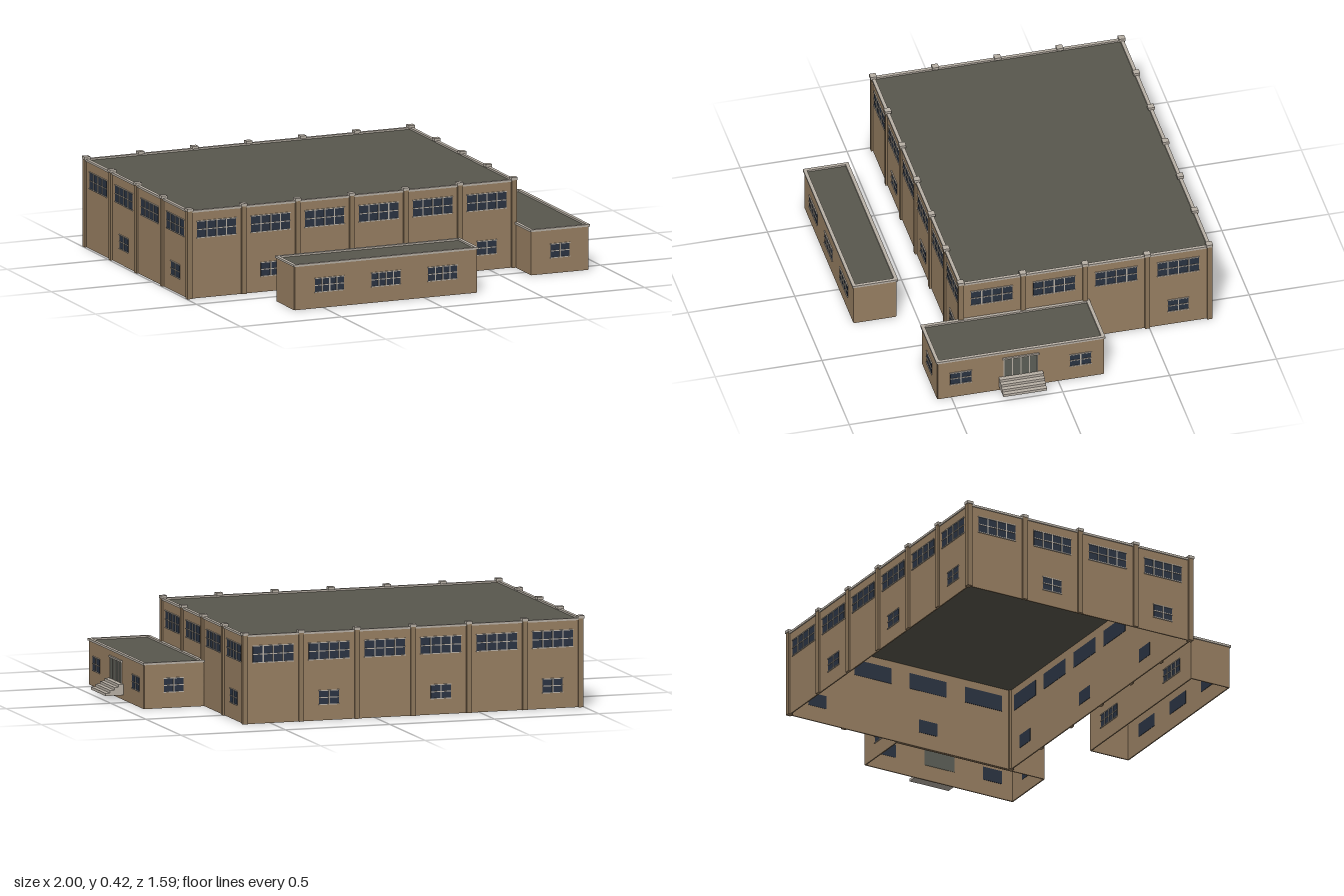
import * as THREE from 'three';

const mat = (name, color) => {
  const m = new THREE.MeshStandardMaterial({ color });
  m.name = name;
  return m;
};

export function createModel() {
  const brick = mat('brick', 0x987f62);
  const darkBrick = mat('pilaster brick', 0x8e775b);
  const stone = mat('pale stone', 0xb8b0a5);
  const roofing = mat('roofing', 0x58574d);
  const glass = mat('window glass', 0x2a3342);
  const doorGlass = mat('door glass', 0x5c5f57);
  const model = new THREE.Group();
  model.name = 'building';

  const box = (parent, name, material, w, h, d, x, y, z) => {
    const mesh = new THREE.Mesh(new THREE.BoxGeometry(w, h, d), material);
    mesh.name = name;
    mesh.position.set(x, y, z);
    parent.add(mesh);
    return mesh;
  };

  // Window on a wall frame: pane through the thin wall, glazing bars outside
  const addWindow = (wall, x, y, w, h, columns) => {
    const g = new THREE.Group();
    g.name = 'window';
    g.position.set(x, y, 0);
    box(g, 'pane', glass, w, h, 0.0096, 0, 0, 0);
    for (let i = 1; i < columns; i++) {
      box(g, 'mullion', stone, 0.005, h, 0.004, (i / columns - 0.5) * w, 0, 0.006);
    }
    box(g, 'transom', stone, w, 0.004, 0.004, 0, 0, 0.006);
    for (const s of [-1, 1]) {
      box(g, 'frameRail', stone, w + 0.004, 0.004, 0.005, 0, s * h / 2, 0.0055);
    }
    wall.add(g);
  };

  // Hollow block: four thin walls, roof and coping.
  // Each wall frame has x to the viewer's right and z outward.
  const block = (name, x0, x1, z0, z1, h) => {
    const g = new THREE.Group();
    g.name = name;
    g.position.set((x0 + x1) / 2, 0, (z0 + z1) / 2);
    const w = x1 - x0, d = z1 - z0;
    const walls = ['front', 'right', 'back', 'left'].map((side, i) => {
      const frame = new THREE.Group();
      frame.name = side + 'Side';
      const length = i % 2 ? d : w, out = (i % 2 ? w : d) / 2;
      frame.rotation.y = i * Math.PI / 2;
      frame.position.set([0, out, 0, -out][i], 0, [out, 0, -out, 0][i]);
      box(frame, 'wall', brick, length, h - 0.006, 0.006, 0, (h - 0.006) / 2, 0);
      box(frame, 'coping', stone, length + 0.014, 0.01, 0.016, 0, h - 0.005, 0);
      frame.userData.length = length;
      g.add(frame);
      return frame;
    });
    box(g, 'roof', roofing, w - 0.006, 0.008, d - 0.006, 0, h - 0.012, 0);
    model.add(g);
    return walls;
  };

  // Main hall with pilasters, a row of high windows and alternate low windows
  const hall = block('mainHall', -0.985, 0.621, -0.782, 0.382, 0.41);
  hall.forEach((wall, side) => {
    const bays = side % 2 ? 4 : 6;
    const length = wall.userData.length, pitch = length / bays;
    for (let i = 0; i < bays; i++) {
      const x = -length / 2 + i * pitch;
      const corner = i === 0;
      box(wall, 'pilaster', darkBrick, 0.024, 0.41, corner ? 0.024 : 0.012, x, 0.205, corner ? 0 : 0.006);
      box(wall, 'pilasterCap', stone, 0.03, 0.013, 0.03, x, 0.4145, 0);
      addWindow(wall, x + pitch / 2, 0.319, 0.194, 0.077, 4);
      if (i % 2) addWindow(wall, x + pitch / 2, 0.105, 0.096, 0.064, 2);
    }
  });

  // Low detached wing in front
  const wing = block('frontWing', -0.64, 0.26, 0.592, 0.789, 0.212);
  for (const x of [-0.28, 0, 0.28]) {
    addWindow(wing[0], x, 0.107, 0.144, 0.064, 4);
    if (x) addWindow(wing[2], x, 0.107, 0.144, 0.064, 4);
  }

  // Entrance wing on the side
  const entry = block('entranceWing', 0.631, 0.911, -0.212, 0.563, 0.212);
  addWindow(entry[0], 0, 0.105, 0.094, 0.064, 2);
  addWindow(entry[2], 0, 0.105, 0.094, 0.064, 2);
  for (const s of [-1, 1]) addWindow(entry[1], s * 0.28, 0.105, 0.1, 0.064, 2);

  // Glazed doors, canopy and steps
  const porch = new THREE.Group();
  porch.name = 'entrance';
  entry[1].add(porch);
  box(porch, 'doors', doorGlass, 0.158, 0.1, 0.0096, 0, 0.123, 0);
  for (let i = 0; i <= 4; i++) {
    box(porch, 'doorBar', stone, 0.004, 0.1, 0.004, (i / 4 - 0.5) * 0.158, 0.123, 0.006);
  }
  box(porch, 'lintel', stone, 0.172, 0.008, 0.01, 0, 0.174, 0.006);
  for (let i = 0; i < 4; i++) {
    const depth = 0.086 - i * 0.021;
    box(porch, 'step', stone, 0.205, 0.0125, depth, 0, 0.0285 + i * 0.0125, 0.003 + depth / 2);
  }

  return model;
}
